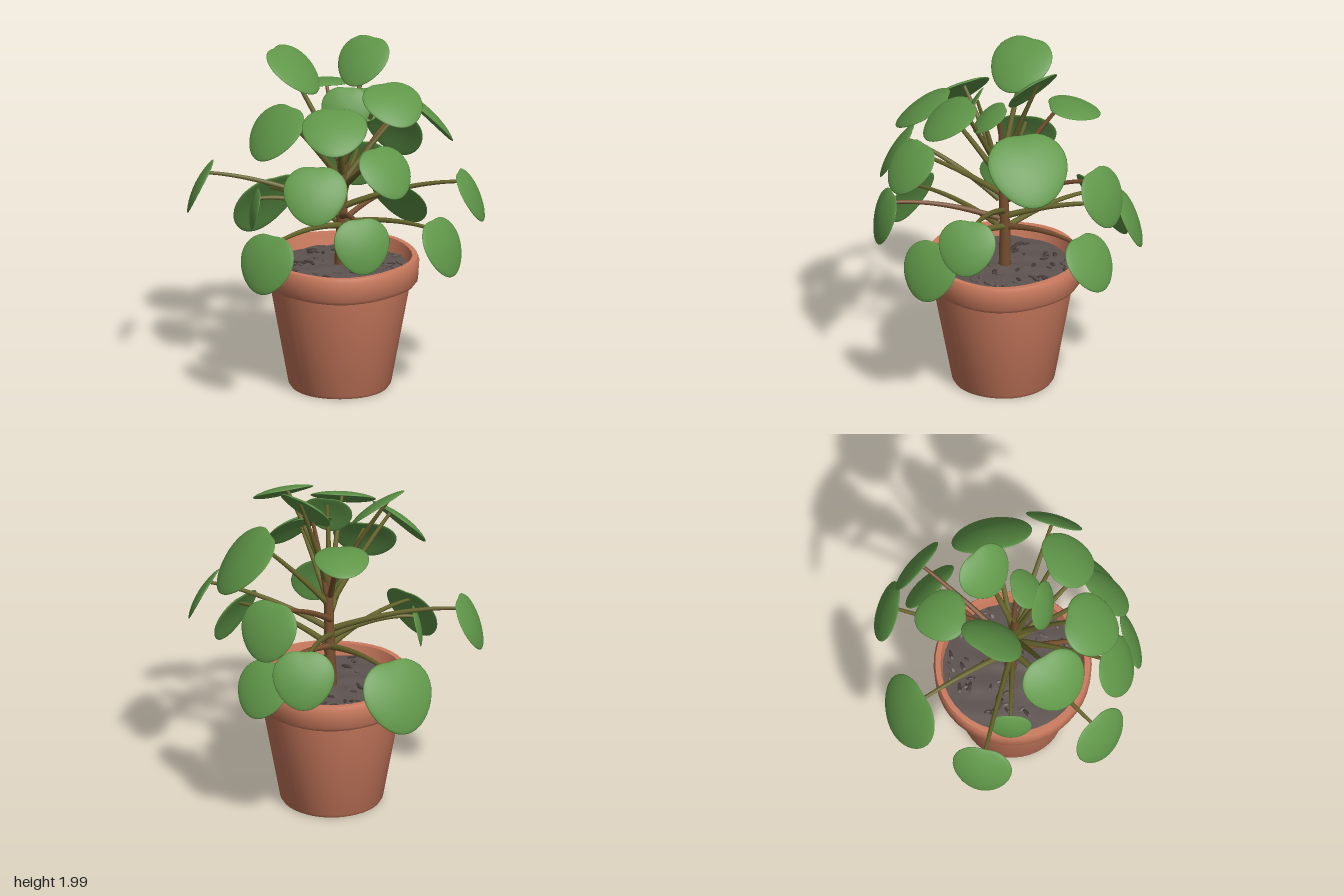
import * as THREE from 'three';
import { mergeVertices, toCreasedNormals } from 'three/addons/utils/BufferGeometryUtils.js';

const mat = (name, color) => {
  const m = new THREE.MeshStandardMaterial({ color });
  m.name = name;
  return m;
};
const V = (x, y, z) => new THREE.Vector3(x, y, z);

// Each leaf faces outward from the trunk: x, y, z, radius, tilt in degrees, optional extra turn
const LEAVES = [
  // crown
  [0.01, 1.885, -0.22, 0.165, -49],
  [-0.24, 1.865, 0.08, 0.185, -40, -10],
  [0.425, 1.775, 0.04, 0.175, 32, -22],
  [-0.3, 1.68, -0.28, 0.155, 12],
  [-0.12, 1.61, 0.45, 0.19, 47],
  [0.255, 1.67, 0.385, 0.185, 32],
  [0.14, 1.7, 0.115, 0.14, 68, -22],
  [0.15, 1.7, -0.03, 0.12, 37, -50],
  [0.29, 1.56, -0.45, 0.23, 46],
  // middle
  [0.525, 1.44, 0.25, 0.17, 50, 12],
  [0.26, 1.34, 0.58, 0.18, 58, 8],
  [-0.09, 1.32, -0.685, 0.18, 66],
  [-0.68, 1.165, 0.405, 0.17, 64],
  [0.7, 1.18, -0.335, 0.165, 62],
  // lower
  [-0.345, 1.085, -0.67, 0.175, 66, 10],
  [-0.02, 0.92, -0.65, 0.175, 57],
  [-0.66, 0.91, -0.2, 0.22, 62],
  [-0.355, 1.065, 0.32, 0.12, 78],
  [0, 0.91, 0.7, 0.178, 68],
  [0.505, 1.05, 0.46, 0.165, 72, 8],
  [0.705, 0.945, -0.055, 0.178, 66],
];

// Unit leaf blade facing +y with its tip toward +z: a thick, domed, notched disc
function bladeGeometry() {
  let g = new THREE.SphereGeometry(1, 36, 14);
  g.deleteAttribute('uv');
  g.deleteAttribute('normal');
  g = mergeVertices(g, 1e-4);
  const p = g.attributes.position;
  for (let i = 0; i < p.count; i++) {
    const x = p.getX(i), y = p.getY(i), z = p.getZ(i);
    const dome = 0.13 * (0.5 - x * x - z * z) + 0.03 * x * x;
    const notch = z < 0 ? 0.08 * Math.exp(-x * x * 14) * z * z : 0;
    p.setXYZ(i, x * (1 - 0.16 * z), y * 0.085 + dome, z + notch);
  }
  g.computeVertexNormals();
  return g;
}

// Tube that narrows from its start to its end
function taperedTube(curve, r0, r1, segs = 14, sides = 7) {
  const g = new THREE.TubeGeometry(curve, segs, 1, sides);
  const p = g.attributes.position;
  const v = V(0, 0, 0);
  for (let i = 0; i < p.count; i++) {
    const t = Math.floor(i / (sides + 1)) / segs;
    const c = curve.getPointAt(t);
    v.fromBufferAttribute(p, i).sub(c).multiplyScalar(r0 + (r1 - r0) * t).add(c);
    p.setXYZ(i, v.x, v.y, v.z);
  }
  return g;
}

export function createModel() {
  const root = new THREE.Group();
  root.name = 'pottedPlant';
  const terracotta = mat('terracotta', 0xcd7c5f);
  const soilMat = mat('soil', 0x5e5350);
  const crumbMat = mat('dark soil', 0x443b38);
  const leafMat = mat('leaf green', 0x609749);
  const stemMat = mat('stem olive', 0x67652c);
  const barkMat = mat('bark brown', 0x785030);

  const add = (parent, name, geo, material) => {
    const m = new THREE.Mesh(geo, material);
    m.name = name;
    parent.add(m);
    return m;
  };
  let seed = 7;
  const rand = () => (seed = (seed * 16807) % 2147483647) / 2147483647;

  // Pot: tapered body, overhanging rim and hollow mouth, slightly uneven
  const profile = [[0, 0.012], [0.26, 0.008], [0.28, 0], [0.293, 0.02], [0.4, 0.612],
    [0.425, 0.616], [0.443, 0.64], [0.45, 0.75], [0.44, 0.775], [0.41, 0.775], [0.39, 0.66]]
    .map(([x, y]) => new THREE.Vector2(x, y));
  const potGeo = new THREE.LatheGeometry(profile, 40);
  const pp = potGeo.attributes.position;
  for (let i = 0; i < pp.count; i++) {
    const x = pp.getX(i), y = pp.getY(i), z = pp.getZ(i);
    const a = Math.atan2(z, x);
    const k = 1 + 0.005 * Math.sin(5 * a + 6 * y);
    pp.setXYZ(i, x * k, y > 0.6 ? y + 0.004 * Math.sin(4 * a + 1) : y, z * k);
  }
  add(root, 'pot', toCreasedNormals(potGeo, 0.7), terracotta).position.set(0.008, 0, -0.01);

  // Soil: lumpy disc with scattered flakes
  const soil = new THREE.Group();
  soil.name = 'soil';
  soil.position.set(0.008, 0.7, -0.01);
  root.add(soil);
  const bedGeo = new THREE.RingGeometry(0.001, 0.4, 32, 8).rotateX(-Math.PI / 2);
  const bp = bedGeo.attributes.position;
  for (let i = 0; i < bp.count; i++) {
    const x = bp.getX(i), z = bp.getZ(i);
    bp.setY(i, 0.008 * Math.sin(31 * x) * Math.cos(27 * z) + 0.02 * (1 - Math.hypot(x, z) / 0.4));
  }
  bedGeo.computeVertexNormals();
  add(soil, 'soilBed', bedGeo, soilMat);
  for (let i = 0; i < 70; i++) {
    const a = rand() * Math.PI * 2, r = 0.06 + 0.31 * Math.sqrt(rand());
    const c = add(soil, 'flake', new THREE.DodecahedronGeometry(0.012 + 0.012 * rand()), i % 2 ? crumbMat : soilMat);
    c.position.set(r * Math.cos(a), 0.02 - 0.03 * r, r * Math.sin(a));
    c.scale.set(1.7, 0.45, 0.7);
    c.rotation.y = rand() * Math.PI * 2;
  }

  // Trunk: short woody core that the leaf stalks grow from
  const trunkCurve = new THREE.CatmullRomCurve3([
    V(0.005, 0.68, -0.02), V(0.01, 0.95, -0.025), V(0.02, 1.2, -0.02), V(0.025, 1.5, 0)]);
  add(root, 'trunk', taperedTube(trunkCurve, 0.036, 0.022, 20, 10), barkMat);

  // Leaves and their stalks
  const bladeGeo = bladeGeometry();
  LEAVES.forEach(([x, y, z, radius, tilt, turn = 0], i) => {
    const group = new THREE.Group();
    group.name = 'leafAndStalk';
    root.add(group);

    const blade = add(group, 'leafBlade', bladeGeo, leafMat);
    blade.position.set(x, y, z);
    blade.scale.setScalar(radius);
    // Leaves with a negative tilt lean in over the crown
    const facing = Math.atan2(x, z) + THREE.MathUtils.degToRad(turn) + (tilt < 0 ? Math.PI : 0);
    blade.rotation.set(THREE.MathUtils.degToRad(Math.abs(tilt)), facing, 0, 'YXZ');
    blade.updateMatrix();

    // Stalk arches from the trunk to the back of the blade near its upper edge
    const start = V(0.015 + 0.015 * Math.sign(x), 0.95 + 0.42 * (y - 0.9), -0.015 + 0.015 * Math.sign(z));
    const end = V(0, -0.04, -0.55).applyMatrix4(blade.matrix);
    const bend = start.clone().lerp(end, 0.55);
    bend.y += y < 1.4 ? 0.07 : 0.03;
    const curve = new THREE.QuadraticBezierCurve3(start, bend, end);
    add(group, 'stalk', taperedTube(curve, 0.019, 0.01), i % 4 === 3 ? barkMat : stemMat);
  });

  return root;
}
